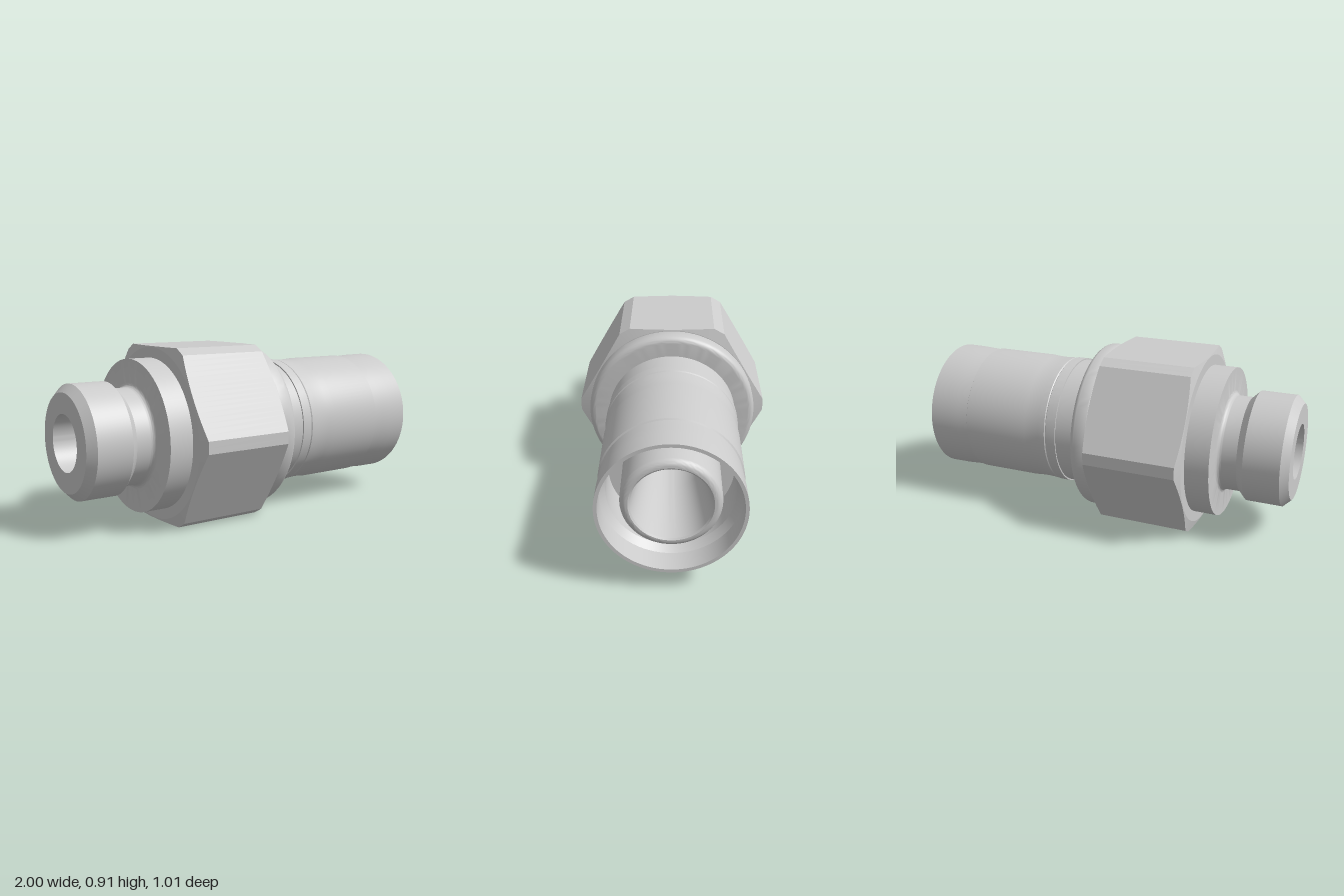
import * as THREE from 'three';
import { toCreasedNormals } from 'three/addons/utils/BufferGeometryUtils.js';

const AXIS_Y = 0.455;
const material = new THREE.MeshStandardMaterial({ color: 0xcccccc, side: THREE.DoubleSide });

function addPart(group, name, geometry, crease) {
  const mesh = new THREE.Mesh(toCreasedNormals(geometry, crease), material);
  mesh.name = name;
  group.add(mesh);
}

// Turned part: profile of [x along axis, radius], outer surface running towards +x
function turned(profile) {
  const geometry = new THREE.LatheGeometry(profile.map(([x, r]) => new THREE.Vector2(r, x)), 96);
  return geometry.rotateZ(-Math.PI / 2);
}

// Arc points in the profile plane, angles in degrees from the +x axis
function arc(cx, cr, radius, from, to, steps = 8) {
  return Array.from({ length: steps + 1 }, (_, i) => {
    const a = THREE.MathUtils.degToRad(from + (to - from) * i / steps);
    return [cx + radius * Math.cos(a), cr + radius * Math.sin(a)];
  });
}

// Hexagon with trimmed corners and conically chamfered ends
function hexNut(x0, x1, apothem, cornerRadius, chamferRadius, slope) {
  const sector = Math.PI / 3;
  const full = apothem / Math.cos(sector / 2);
  const trim = Math.atan((full - cornerRadius) * Math.tan(sector) / cornerRadius);
  const flatHalf = sector / 2 - trim;
  const angles = [];
  for (let k = 0; k < 6; k++) {
    for (let i = 0; i <= 16; i++) angles.push([k * sector - flatHalf + 2 * flatHalf * i / 16, k * sector, apothem]);
    angles.push([k * sector + sector / 2, (k + 0.5) * sector, cornerRadius]);
  }
  const positions = [], index = [], rings = 6;
  for (const [angle, normalAngle, distance] of angles) {
    const r = distance / Math.cos(angle - normalAngle);
    const d = slope * (r - chamferRadius);
    const section = [[x0, 0.25], [x0, chamferRadius], [x0 + d, r], [x1 - d, r], [x1, chamferRadius], [x1, 0.25]];
    for (const [x, radius] of section) positions.push(x, radius * Math.cos(angle), radius * Math.sin(angle));
  }
  for (let i = 0; i < angles.length; i++) {
    const next = (i + 1) % angles.length;
    for (let j = 0; j < rings - 1; j++) {
      const a = i * rings + j, b = next * rings + j;
      index.push(a, b, a + 1, b, b + 1, a + 1);
    }
  }
  const geometry = new THREE.BufferGeometry();
  geometry.setAttribute('position', new THREE.Float32BufferAttribute(positions, 3));
  geometry.setIndex(index);
  return geometry;
}

export function createModel() {
  const model = new THREE.Group();
  model.name = 'pipeCoupling';
  const parts = new THREE.Group();
  parts.name = 'couplingBody';
  parts.position.y = AXIS_Y;
  model.add(parts);

  // Chamfered spigot, undercut neck and round shoulder
  addPart(parts, 'spigotAndShoulder', turned([
    [-1, 0.145], [-1, 0.25], [-0.96, 0.29], [-0.775, 0.29], [-0.735, 0.25],
    ...arc(-0.66, 0.275, 0.025, 270, 360),
    [-0.635, 0.395], [-0.5, 0.395],
  ]), 0.5);

  addPart(parts, 'hexNut', hexNut(-0.51, 0.005, 0.455, 0.507, 0.45, 0.27), 0.2);

  // Rounded collar against the nut
  addPart(parts, 'collar', turned([
    [-0.005, 0.44], ...arc(0.015, 0.435, 0.015, 180, 90, 5),
    ...arc(0.062, 0.415, 0.035, 90, 0),
    [0.097, 0.3],
  ]), 0.5);

  // Sleeve with stepped bands and an open socket
  addPart(parts, 'sleeve', turned([
    [0.09, 0.343], [0.225, 0.343], [0.225, 0.35], [0.28, 0.35], [0.285, 0.344],
    [0.29, 0.348], [0.33, 0.345], [0.37, 0.344], [0.41, 0.345], [0.45, 0.349],
    [0.77, 0.349], [0.775, 0.342], [0.83, 0.345], [0.9, 0.349], [1, 0.35],
    [1, 0.333], [0.88, 0.333], [0.84, 0.307], [0.65, 0.307], [0.65, 0.23],
  ]), 0.3);

  // Inner tube with a rounded lip, flared mouth and through bore
  addPart(parts, 'innerTube', turned([
    [0.62, 0.237],
    ...arc(0.92, 0.202, 0.035, 90, 0),
    [0.955, 0.198], [0.948, 0.19], [0.6, 0.145], [-1, 0.145],
  ]), 0.5);

  return model;
}
